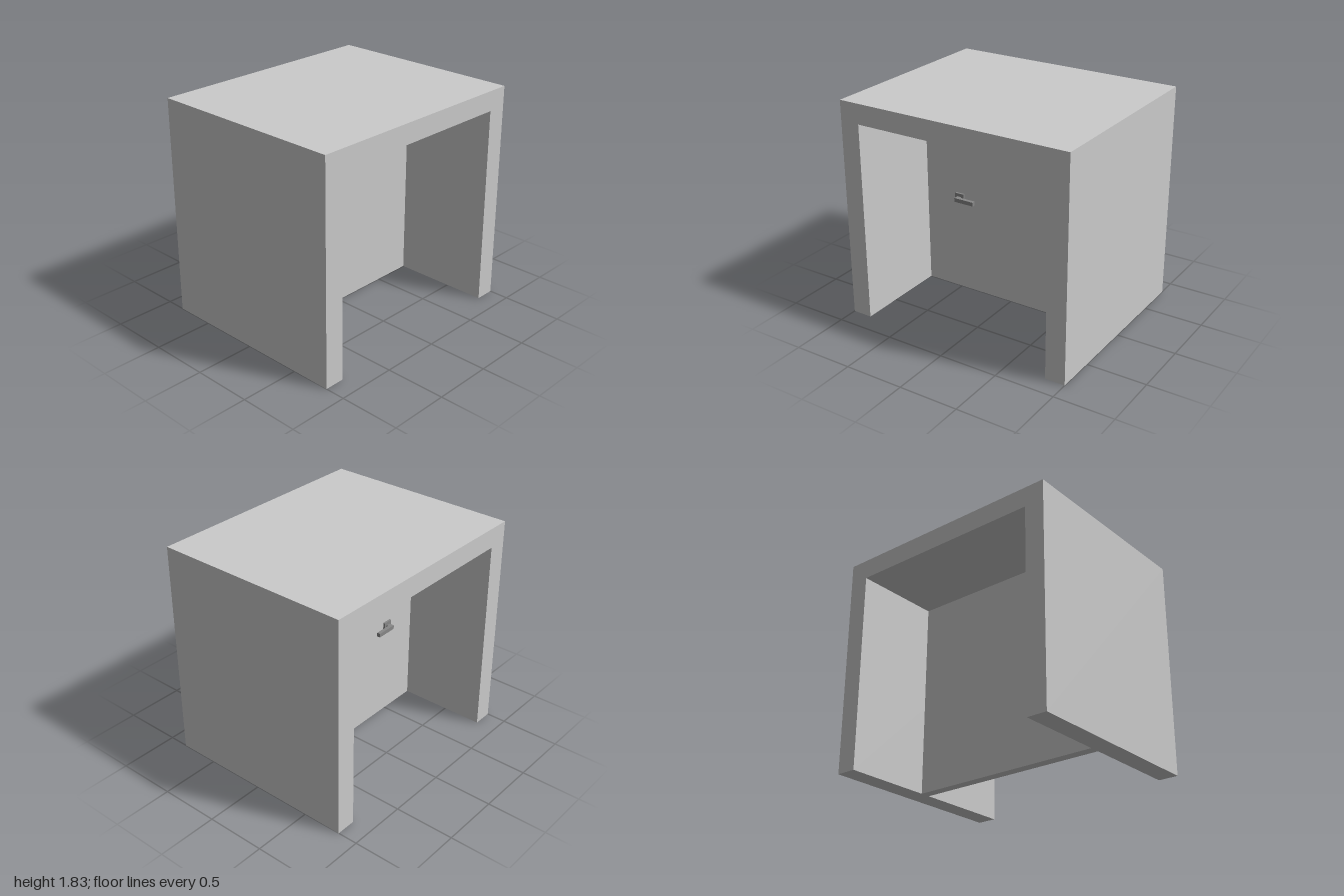
import * as THREE from 'three';

export function createModel() {
  const model = new THREE.Group();
  const wallMaterial = new THREE.MeshStandardMaterial({ color: 0xcccccc });
  const handleMaterial = new THREE.MeshStandardMaterial({ color: 0x888888 });

  const W = 1, H = 1.833, D = 1.667;      // half width, height, depth of the wall
  const w = 0.833, h = 1.667;             // half width and height of the opening
  const doorBack = -0.083, doorFront = 0;

  function box(name, parent, material, x0, x1, y0, y1, z0, z1) {
    const mesh = new THREE.Mesh(new THREE.BoxGeometry(x1 - x0, y1 - y0, z1 - z0), material);
    mesh.position.set((x0 + x1) / 2, (y0 + y1) / 2, (z0 + z1) / 2);
    mesh.name = name;
    parent.add(mesh);
  }

  // Thick surround with a doorway open at the bottom
  const outline = new THREE.Shape([
    [-W, 0], [-w, 0], [-w, h], [w, h], [w, 0], [W, 0], [W, H], [-W, H],
  ].map(([x, y]) => new THREE.Vector2(x, y)));
  const surround = new THREE.Mesh(
    new THREE.ExtrudeGeometry(outline, { depth: D, bevelEnabled: false }), wallMaterial);
  surround.position.z = -D / 2;
  surround.name = 'wallSurround';
  model.add(surround);

  // Door leaf set midway through the wall
  box('doorLeaf', model, wallMaterial, -w, w, 0, h, doorBack, doorFront);

  // Lever handle on each face of the door, both levers pointing to +x
  const x = -0.5, y = 0.833;
  for (const [name, face, s] of [['frontHandle', doorFront, 1], ['backHandle', doorBack, -1]]) {
    const handle = new THREE.Group();
    handle.name = name;
    const part = (label, x0, x1, half, near, far) => {
      const a = face + s * near, b = face + s * far;
      box(label, handle, handleMaterial, x0, x1, y - half, y + half, Math.min(a, b), Math.max(a, b));
    };
    part('plate', x - 0.042, x + 0.042, 0.042, 0, 0.017);
    part('spindle', x - 0.017, x + 0.017, 0.015, 0.017, 0.05);
    part('lever', x - 0.017, x + 0.167, 0.017, 0.035, 0.065);
    model.add(handle);
  }
  return model;
}
